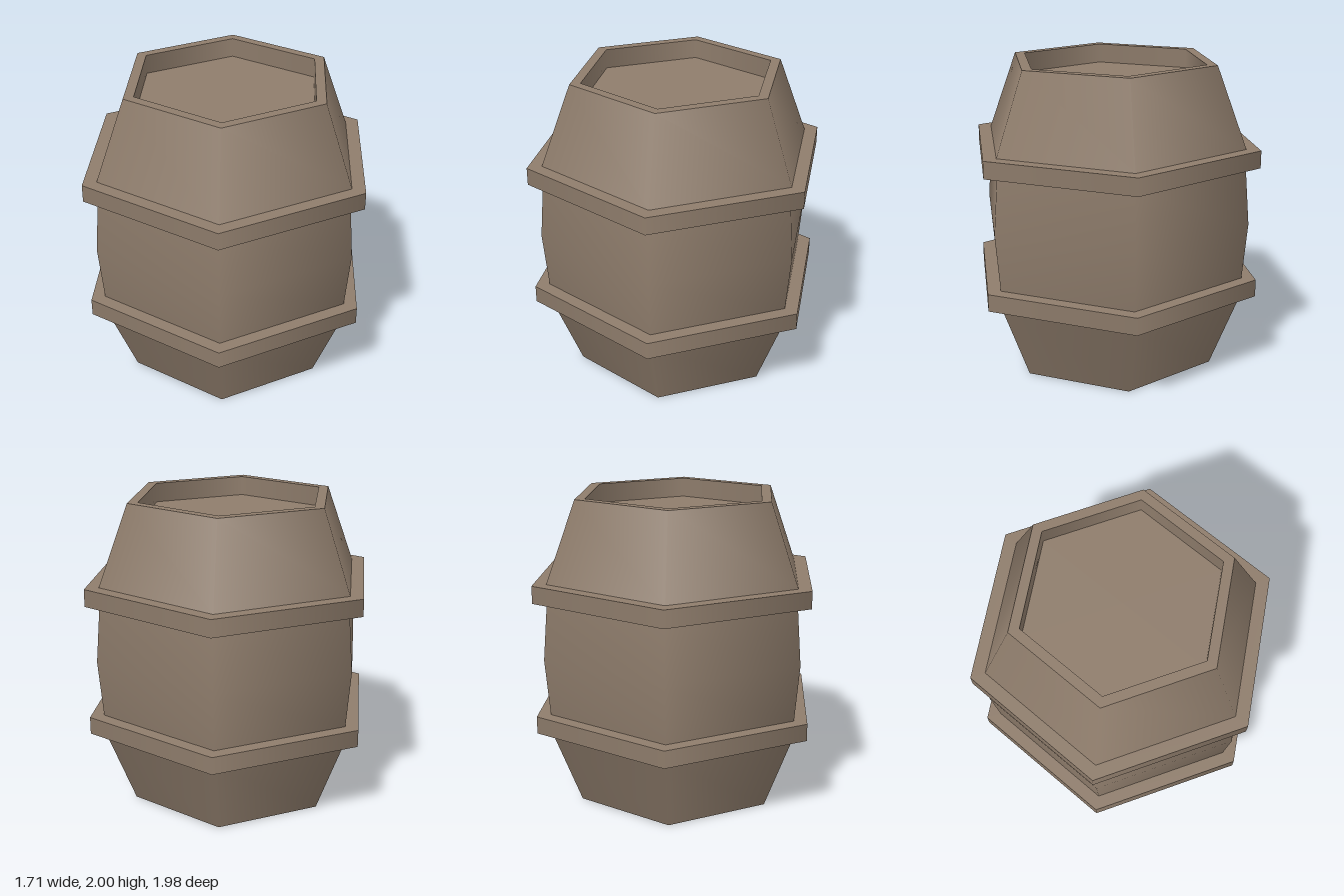
import * as THREE from 'three';
import { mergeGeometries } from 'three/addons/utils/BufferGeometryUtils.js';

const SIDES = 6;

// Each strip is a profile [[radius, y], ...] that is smooth in itself; edges between strips stay sharp.
function hexLathe(strips) {
  return mergeGeometries(strips.map(strip =>
    new THREE.LatheGeometry(strip.map(([r, y]) => new THREE.Vector2(r, y)), SIDES)));
}

export function createModel() {
  const barrel = new THREE.Group();
  barrel.name = 'barrel';
  const wood = new THREE.MeshStandardMaterial({ color: 0x8f7d6c });
  wood.name = 'brown wood';

  const add = (name, strips) => {
    const mesh = new THREE.Mesh(hexLathe(strips), wood);
    mesh.name = name;
    barrel.add(mesh);
  };

  const height = 2, rim = 0.695, inner = 0.625, recess = 0.125;
  const shoulder = 0.895, belly = 0.927, hoop = 0.99;
  const hoops = { lowerHoop: [0.517, 0.63], upperHoop: [1.375, 1.487] };
  const [low0, low1] = hoops.lowerHoop;
  const [up0, up1] = hoops.upperHoop;

  // Staves: lower taper, bulging middle, upper taper
  add('staves', [
    [[rim, 0], [shoulder, low0]],
    [[shoulder, low1], [belly, 1], [shoulder, up0]],
    [[shoulder, up1], [rim, height]],
  ]);

  // Sunken ends: rim, inner wall and head
  add('topEnd', [
    [[rim, height], [inner, height]],
    [[inner, height], [inner, height - recess]],
    [[inner, height - recess], [0, height - recess]],
  ]);
  add('bottomEnd', [
    [[0, recess], [inner, recess]],
    [[inner, recess], [inner, 0]],
    [[inner, 0], [rim, 0]],
  ]);

  // Hoops
  for (const [name, [y0, y1]] of Object.entries(hoops)) {
    add(name, [
      [[shoulder, y0], [hoop, y0]],
      [[hoop, y0], [hoop, y1]],
      [[hoop, y1], [shoulder, y1]],
    ]);
  }
  return barrel;
}
